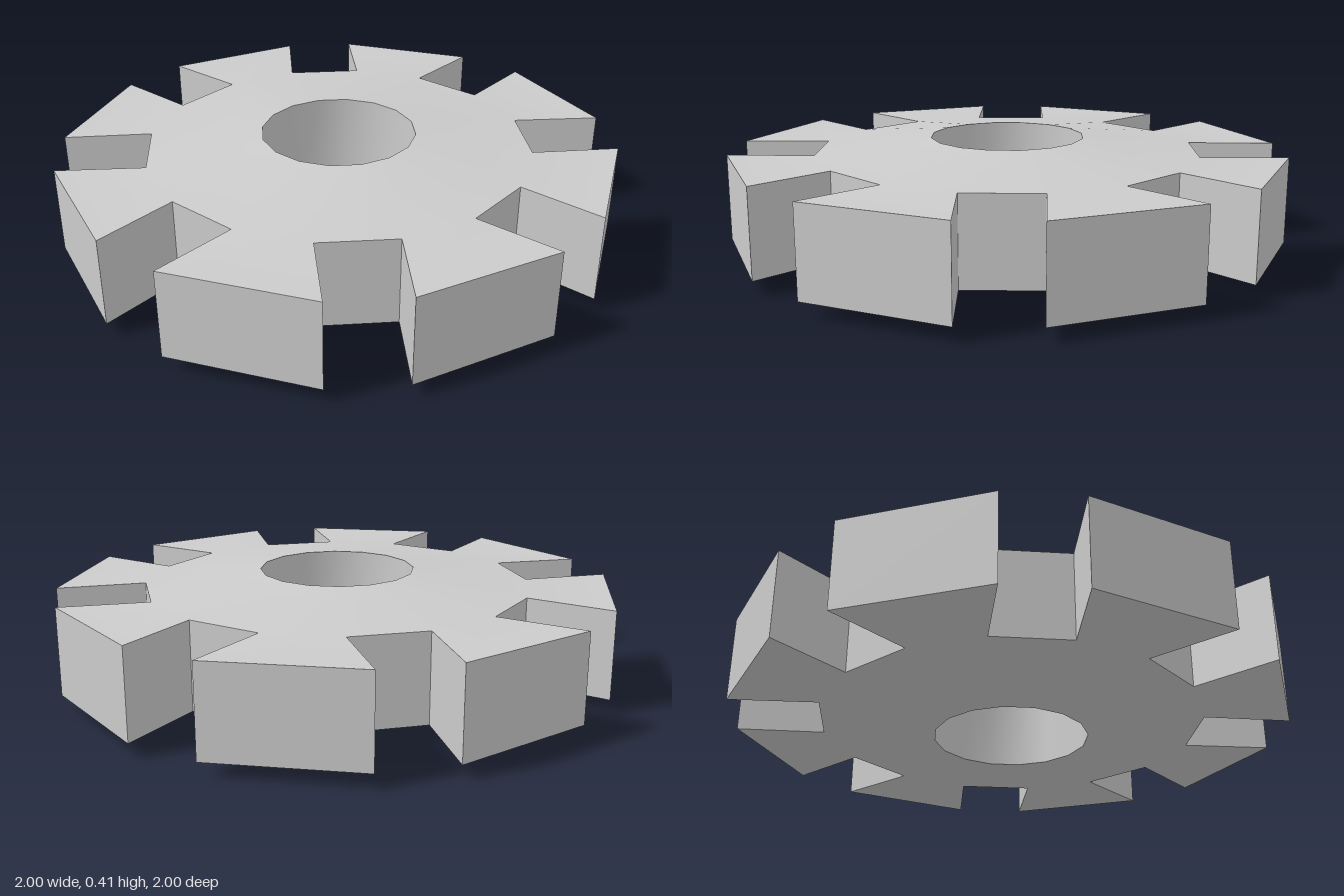
import * as THREE from 'three';
import { toCreasedNormals } from 'three/addons/utils/BufferGeometryUtils.js';

const TEETH = 8;
const STEP = Math.PI / TEETH;            // one tooth or one gap
const FLARE = THREE.MathUtils.degToRad(3.75);
const HOLE = 0.277, ROOT = 0.693, TIP = 1.002;
const HEIGHT = 0.41, BEVEL = 0.05;       // hub thickness, drop from hub to teeth

// A point pair (top and bottom) at a radius and clockwise angle
function post(radius, angle, inset) {
  const x = radius * Math.sin(angle), z = -radius * Math.cos(angle);
  return { top: [x, HEIGHT - inset, z], bottom: [x, inset, z] };
}

export function createModel() {
  const group = new THREE.Group();
  group.name = 'toothedWheel';
  const positions = [];
  const quad = (a, b, c, d) => positions.push(...a, ...b, ...c, ...a, ...c, ...d);

  // Upper and lower faces over the same outline
  const caps = (a, b, c, d) => {
    quad(a.top, b.top, c.top, d.top);
    quad(d.bottom, c.bottom, b.bottom, a.bottom);
  };
  // Upright wall, facing outward when p to q runs clockwise
  const wall = (p, q) => quad(q.bottom, p.bottom, p.top, q.top);

  for (let i = 0; i < TEETH * 2; i++) {
    const a0 = i * STEP, a1 = a0 + STEP;
    const hole0 = post(HOLE, a0, 0), hole1 = post(HOLE, a1, 0);
    const root0 = post(ROOT, a0, BEVEL), root1 = post(ROOT, a1, BEVEL);

    // Sloping hub and bore
    caps(hole0, hole1, root1, root0);
    wall(hole1, hole0);

    if (i % 2 === 0) {
      // Flared tooth
      const tip0 = post(TIP, a0 - FLARE, BEVEL), tip1 = post(TIP, a1 + FLARE, BEVEL);
      caps(root0, root1, tip1, tip0);
      wall(root0, tip0);
      wall(tip0, tip1);
      wall(tip1, root1);
    } else {
      // Floor of the gap
      wall(root0, root1);
    }
  }

  const geometry = new THREE.BufferGeometry();
  geometry.setAttribute('position', new THREE.Float32BufferAttribute(positions, 3));
  const wheel = new THREE.Mesh(
    toCreasedNormals(geometry, Math.PI / 6),
    new THREE.MeshStandardMaterial({ color: 0xcccccc })
  );
  wheel.name = 'gearWheel';
  group.add(wheel);
  return group;
}
